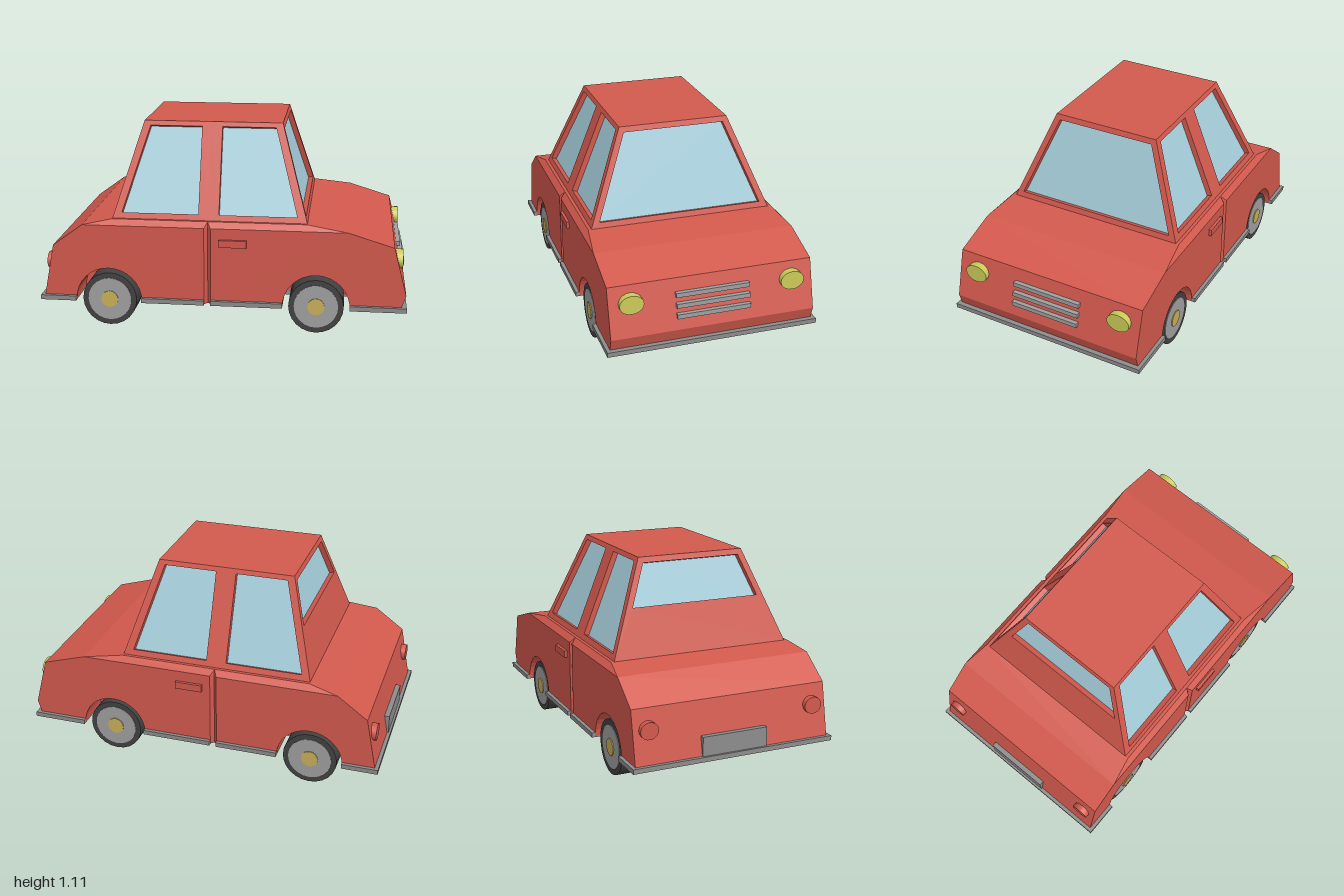
import * as THREE from 'three';

const mat = (name, color, side = THREE.FrontSide) => {
  const m = new THREE.MeshStandardMaterial({ color, side });
  m.name = name;
  return m;
};

// Flat-faced mesh from a list of convex polygons, each a list of [x, y, z]
function faceted(name, polys, material) {
  const v = [];
  for (const p of polys)
    for (let i = 1; i < p.length - 1; i++) v.push(...p[0], ...p[i], ...p[i + 1]);
  const g = new THREE.BufferGeometry();
  g.setAttribute('position', new THREE.Float32BufferAttribute(v, 3));
  g.computeVertexNormals();
  const mesh = new THREE.Mesh(g, material);
  mesh.name = name;
  return mesh;
}

// Triangles of a concave outline, standing at depth z
function outline(pts, z) {
  const flat = pts.map(([x, y]) => new THREE.Vector2(x, y));
  return THREE.ShapeUtils.triangulateShape(flat, [])
    .map((t) => t.map((i) => [flat[i].x, flat[i].y, z]));
}

export function createModel() {
  const car = new THREE.Group();
  car.name = 'car';
  const red = mat('red paint', 0xd2594d, THREE.DoubleSide);
  const glass = mat('pale blue glass', 0xa6cfdc, THREE.DoubleSide);
  const metal = mat('grey metal', 0xa0a0a0);
  const trim = mat('sill grey', 0x8c8c8c);
  const rubber = mat('tyre black', 0x424242);
  const lamp = mat('lamp yellow', 0xcbcb5a);
  const gold = mat('hub gold', 0xc9b058);

  const add = (name, geometry, material, x, y, z) => {
    const m = new THREE.Mesh(geometry, material);
    m.name = name;
    m.position.set(x, y, z);
    car.add(m);
    return m;
  };

  const W = 0.555, wheelXs = [-0.62, 0.515], wheelY = 0.15, archR = 0.182;
  const low = 0.146, beltY = 0.575, deckY = 0.605, deckZ = 0.525;
  const seam = -0.075, gap = 0.018, seamZ = 0.535;

  // Arch points run from the front of the wheel over to the rear
  const arch = (cx) => Array.from({ length: 17 }, (_, i) => {
    const a = (Math.PI * i) / 16;
    return [cx + archR * Math.cos(a), wheelY + archR * Math.sin(a)];
  });

  // Body shell: ends, bonnet, boot, then both sides with arches and door seam
  const rear = [[-0.98, low], [-0.98, 0.17], [-0.925, 0.455], [-0.76, beltY]];
  const nose = [[0.68, beltY], [0.925, 0.5], [0.995, 0.235], [0.965, low]];
  const shell = [];
  for (const line of [rear, nose])
    for (let i = 0; i < line.length - 1; i++) {
      const [a, b] = [line[i], line[i + 1]];
      shell.push([[...a, W], [...b, W], [...b, -W], [...a, -W]]);
    }
  for (const [edge, deck] of [[-0.76, -0.6], [0.68, 0.46]])
    shell.push([[edge, beltY, W], [edge, beltY, -W], [deck, deckY, -deckZ], [deck, deckY, deckZ]]);
  shell.push([[-0.6, deckY, deckZ], [0.46, deckY, deckZ], [0.46, deckY, -deckZ], [-0.6, deckY, -deckZ]]);

  for (const s of [1, -1]) {
    const z = s * W;
    shell.push(...outline([...rear, [seam - gap, beltY], [seam - gap, low], ...arch(wheelXs[0])], z));
    shell.push(...outline([[seam + gap, beltY], ...nose, ...arch(wheelXs[1]), [seam + gap, low]], z));
    // V-shaped door seam and shoulder chamfer
    for (const [k, edge, deck] of [[-gap, -0.76, -0.6], [gap, 0.68, 0.46]]) {
      const lip = [seam + k, beltY, z], root = [seam, beltY, s * seamZ], tip = [seam, deckY, s * deckZ];
      shell.push([[seam + k, low, z], lip, root, [seam, low, s * seamZ]]);
      shell.push([lip, root, tip]);
      shell.push([lip, [edge, beltY, z], [deck, deckY, s * deckZ], tip]);
    }
    // Wheel wells
    for (const cx of wheelXs) {
      const a = arch(cx), inner = s * 0.345;
      for (let i = 0; i < a.length - 1; i++)
        shell.push([[...a[i], z], [...a[i + 1], z], [...a[i + 1], inner], [...a[i], inner]]);
      shell.push(a.map((p) => [...p, inner]));
    }
  }
  car.add(faceted('body', shell, red));

  // Sill plate with notches for the wheels and door seams
  const edge = [[-1, 0.575]];
  const notch = (x, half, z) => edge.push([x - half, 0.575], [x - half, z], [x + half, z], [x + half, 0.575]);
  notch(wheelXs[0], archR, 0.345);
  notch(seam, gap, seamZ);
  notch(wheelXs[1], archR, 0.345);
  edge.push([1, 0.575]);
  const full = [...edge, ...edge.map(([x, z]) => [x, -z]).reverse()];
  const sill = new THREE.ExtrudeGeometry(
    new THREE.Shape(full.map(([x, z]) => new THREE.Vector2(x, z))), { depth: 0.026, bevelEnabled: false });
  sill.rotateX(-Math.PI / 2);
  add('sill', sill, trim, 0, 0.144, 0);

  // Cabin: sloping panels with recessed windows
  const B = 0.605, T = 1.11, zB = 0.507, zT = 0.305;
  const mix = (a, b, y) => a + ((b - a) * (y - B)) / (T - B);
  const zAt = (y) => mix(zB, zT, y);
  const frames = [], panes = [];
  const panel = (outer, inner) => {
    const o = outer.map((p) => new THREE.Vector3(...p));
    const n = o[1].clone().sub(o[0]).cross(o[2].clone().sub(o[0])).normalize();
    if (n.dot(o[0].clone().sub(new THREE.Vector3(-0.07, 0.8, 0))) < 0) n.negate();
    const deep = inner.map((p) => new THREE.Vector3(...p).addScaledVector(n, -0.03).toArray());
    for (let i = 0; i < 4; i++) {
      const j = (i + 1) % 4;
      frames.push([outer[i], outer[j], inner[j], inner[i]], [inner[i], inner[j], deep[j], deep[i]]);
    }
    panes.push(deep);
  };
  for (const s of [1, -1]) {
    const side = (x0, x1, x2, x3, y0, y1) =>
      [[x0, y0, s * zAt(y0)], [x1, y0, s * zAt(y0)], [x2, y1, s * zAt(y1)], [x3, y1, s * zAt(y1)]];
    panel(side(-0.6, seam, seam, -0.45, B, T), side(-0.55, -0.13, -0.13, -0.415, 0.635, 1.085));
    panel(side(seam, 0.46, 0.31, seam, B, T), side(-0.018, 0.405, 0.275, -0.018, 0.635, 1.085));
  }
  const end = (xB, xT, y0, y1, m) => {
    const a = zAt(y0) - m, b = zAt(y1) - m, p = mix(xB, xT, y0), q = mix(xB, xT, y1);
    return [[p, y0, a], [p, y0, -a], [q, y1, -b], [q, y1, b]];
  };
  panel(end(0.46, 0.31, B, T, 0), end(0.46, 0.31, 0.635, 1.08, 0.036));
  panel(end(-0.6, -0.45, B, T, 0), end(-0.6, -0.45, 0.86, 1.08, 0.036));
  frames.push([[-0.45, T, zT], [0.31, T, zT], [0.31, T, -zT], [-0.45, T, -zT]]);
  car.add(faceted('cabin', frames, red), faceted('windows', panes, glass));

  // Round parts lying along z (wheels) or x (lamps)
  const disc = (r, len, n) => new THREE.CylinderGeometry(r, r, len, n).rotateX(Math.PI / 2);
  const oval = (h, w, len) => new THREE.CylinderGeometry(1, 1, len, 20).rotateZ(Math.PI / 2).scale(1, h, w);

  for (const s of [1, -1]) {
    for (const x of wheelXs) {
      add('tyre', disc(0.15, 0.185, 24), rubber, x, wheelY, s * 0.4465);
      add('wheelRim', disc(0.12, 0.01, 24), metal, x, wheelY, s * 0.537);
      add('hub', disc(0.047, 0.02, 16), gold, x, wheelY, s * 0.537);
    }
    add('doorHandle', new THREE.BoxGeometry(0.15, 0.04, 0.03), red, 0.063, 0.495, s * 0.556);
    add('headlight', oval(0.052, 0.065, 0.06), lamp, 0.945, 0.408, s * 0.437);
    add('tailLight', oval(0.046, 0.05, 0.05), red, -0.945, 0.345, s * 0.472);
  }

  // Grille bars and number plate
  for (const [x, y] of [[0.952, 0.418], [0.967, 0.364], [0.98, 0.31]])
    add('grilleBar', new THREE.BoxGeometry(0.03, 0.025, 0.4), metal, x, y, 0);
  add('rearPlate', new THREE.BoxGeometry(0.035, 0.105, 0.37), trim, -0.97, 0.222, 0);

  return car;
}
